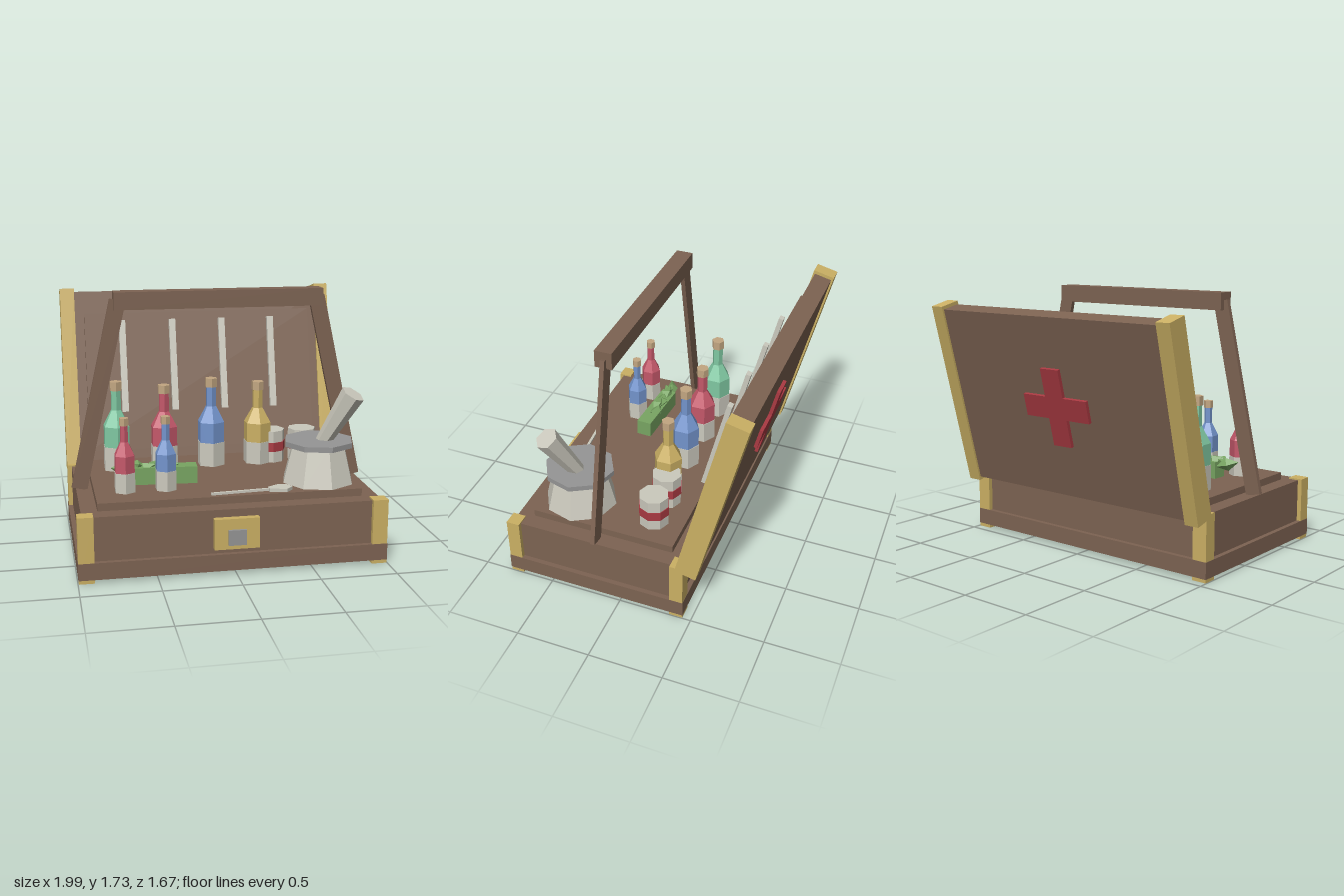
import * as THREE from 'three';

const mat = (name, color) => {
  const m = new THREE.MeshStandardMaterial({ color });
  m.name = name;
  return m;
};
const M = {
  wood: mat('wood', 0x7d6352), brass: mat('brass', 0xcbb064), ivory: mat('ivory', 0xcbc9bd),
  steel: mat('steel', 0x959595), mint: mat('mintGlass', 0x80c8a2), rose: mat('roseGlass', 0xc4586a),
  blue: mat('blueGlass', 0x7394cc), cork: mat('cork', 0xc2a681), leaf: mat('leaf', 0x78a562),
  crimson: mat('crimson', 0xaa3a42),
};

// Faceted mesh added to a parent
function add(parent, name, geo, material, x = 0, y = 0, z = 0) {
  const g = geo.index ? geo.toNonIndexed() : geo;
  g.computeVertexNormals();
  const mesh = new THREE.Mesh(g, material);
  mesh.name = name;
  mesh.position.set(x, y, z);
  parent.add(mesh);
  return mesh;
}
const box = (parent, name, m, w, h, d, x, y, z) =>
  add(parent, name, new THREE.BoxGeometry(w, h, d), m, x, y, z);
const group = (parent, name, x = 0, y = 0, z = 0) => {
  const g = new THREE.Group();
  g.name = name;
  g.position.set(x, y, z);
  parent.add(g);
  return g;
};
const TOP = 0.47, CZ = 0.185;

function buildCase(root) {
  const g = group(root, 'case');
  box(g, 'caseBody', M.wood, 1.93, 0.4, 1.19, 0, 0.22, CZ);
  box(g, 'lowerBand', M.wood, 1.994, 0.11, 1.254, 0, 0.078, CZ);
  box(g, 'tray', M.wood, 1.72, 0.06, 0.99, 0, 0.44, 0.175);
  for (const sx of [-1, 1]) for (const sz of [-1, 1])
    box(g, 'cornerBrace', M.brass, 0.1, 0.43, 0.09, sx * 0.945, 0.215, CZ + sz * 0.58);
  box(g, 'claspPlate', M.brass, 0.29, 0.2, 0.06, 0, 0.27, 0.795);
  box(g, 'claspLock', M.steel, 0.115, 0.1, 0.04, 0, 0.25, 0.823);
}

function buildLid(root) {
  const g = group(root, 'lid', 0, 1.014, -0.6075);
  g.rotation.x = -0.24;
  box(g, 'lidPanel', M.wood, 1.93, 1.24, 0.12, 0, 0, 0);
  box(g, 'innerPanel', M.wood, 1.66, 0.99, 0.045, 0, -0.038, 0.07);
  for (const s of [-1, 1]) box(g, 'lidBrace', M.brass, 0.1, 1.285, 0.146, s * 0.945, 0, 0);
  for (let i = 0; i < 4; i++)
    box(g, 'toolStrip', M.ivory, 0.046, 0.66, 0.032, -0.565 + i * 0.364, 0.068, 0.137);
  // Cross on the outside of the lid
  const a = 0.075, b = 0.265;
  const cross = new THREE.Shape([[a, b], [-a, b], [-a, a], [-b, a], [-b, -a], [-a, -a],
    [-a, -b], [a, -b], [a, -a], [b, -a], [b, a], [a, a]].map(p => new THREE.Vector2(...p)));
  add(g, 'cross', new THREE.ExtrudeGeometry(cross, { depth: 0.033, bevelEnabled: false }),
    M.crimson, 0, 0.017, -0.083);
}

function buildHandle(root) {
  const g = group(root, 'handle');
  box(g, 'handleBar', M.wood, 1.385, 0.115, 0.115, 0, 1.674, 0.19);
  for (const s of [-1, 1])
    box(g, 'handleArm', M.wood, 0.105, 1.28, 0.03, s * 0.803, 1.05, 0.185).rotation.z = s * 0.219;
}

// Six-sided bottle with a label and a stopper
function bottle(root, material, x, z, h, r) {
  const g = group(root, 'bottle', x, TOP, z);
  const profile = [[0, 0], [r * 0.97, 0], [r * 0.97, h * 0.5], [r * 0.37, h * 0.68],
    [r * 0.37, h * 0.95], [0, h * 0.95]].map(p => new THREE.Vector2(...p));
  add(g, 'bottleGlass', new THREE.LatheGeometry(profile, 6), material);
  add(g, 'bottleLabel', new THREE.CylinderGeometry(r, r, h * 0.27, 6), M.ivory, 0, h * 0.135, 0);
  add(g, 'stopper', new THREE.CylinderGeometry(r * 0.44, r * 0.44, h * 0.1, 6), M.cork, 0, h * 0.95, 0);
}

function buildMortar(root) {
  const g = group(root, 'mortarAndPestle', 0.63, TOP, 0.427);
  const bowl = group(g, 'bowl');
  bowl.rotation.y = 0.12;
  add(bowl, 'mortarBody', new THREE.CylinderGeometry(0.18, 0.245, 0.26, 8), M.ivory, 0, 0.13, 0);
  add(bowl, 'mortarRim', new THREE.CylinderGeometry(0.235, 0.235, 0.035, 8), M.steel, 0, 0.264, 0);
  // Pestle leaning out of the bowl
  const from = new THREE.Vector3(0.0, 0.2, -0.02), to = new THREE.Vector3(0.19, 0.607, 0.125);
  const dir = to.clone().sub(from);
  const pestle = add(g, 'pestle', new THREE.CylinderGeometry(0.08, 0.045, dir.length(), 6), M.ivory);
  pestle.position.copy(from).add(to).multiplyScalar(0.5);
  pestle.quaternion.setFromUnitVectors(new THREE.Vector3(0, 1, 0), dir.normalize());
}

function buildHerbs(root) {
  const g = group(root, 'herbBundle');
  box(g, 'herbStems', M.leaf, 0.44, 0.115, 0.105, -0.39, TOP + 0.057, 0.29).rotation.y = -0.06;
  // Pointed leaves piled along the bundle
  for (let i = 0; i < 7; i++) {
    const leaf = add(g, 'herbLeaf', new THREE.OctahedronGeometry(0.07), M.leaf,
      -0.67 + i * 0.052, TOP + 0.1 + (i % 3) * 0.008, 0.275 + (i % 2) * 0.015);
    leaf.scale.set(1.15, 0.65, 0.6);
    leaf.rotation.set(0.5 * i, 0.4 - (i % 3) * 0.3, 0.25 * ((i % 2) * 2 - 1));
  }
}

function buildSpoon(root) {
  const g = group(root, 'spoon', 0.26, TOP + 0.012, 0.612);
  g.rotation.y = 0.08;
  box(g, 'spoonHandle', M.ivory, 0.4, 0.015, 0.018, -0.195, 0, 0);
  const s = new THREE.Shape([[0, 0.02], [0.08, 0.058], [0.145, 0.035], [0.16, -0.01],
    [0.11, -0.055], [0, -0.025]].reverse().map(p => new THREE.Vector2(...p)));
  add(g, 'spoonHead', new THREE.ExtrudeGeometry(s, { depth: 0.022, bevelEnabled: false }),
    M.ivory, -0.01, -0.011, 0).rotation.x = -Math.PI / 2;
}

export function createModel() {
  const root = new THREE.Group();
  root.name = 'medicineCase';
  buildCase(root);
  buildLid(root);
  buildHandle(root);

  // Back row and small front bottles
  bottle(root, M.mint, -0.663, -0.085, 0.616, 0.1);
  bottle(root, M.rose, -0.332, -0.085, 0.58, 0.1);
  bottle(root, M.blue, 0, -0.085, 0.616, 0.1);
  bottle(root, M.brass, 0.332, -0.085, 0.58, 0.1);
  bottle(root, M.rose, -0.663, 0.445, 0.487, 0.073);
  bottle(root, M.blue, -0.396, 0.445, 0.487, 0.073);

  // Banded jars
  for (const x of [0.435, 0.663]) {
    const jar = group(root, 'jar', x, TOP, -0.115);
    add(jar, 'jarBody', new THREE.CylinderGeometry(0.1, 0.1, 0.225, 8), M.ivory, 0, 0.1125, 0);
    add(jar, 'jarBand', new THREE.CylinderGeometry(0.105, 0.105, 0.065, 8), M.crimson, 0, 0.112, 0);
  }
  buildMortar(root);
  buildHerbs(root);
  buildSpoon(root);
  return root;
}
